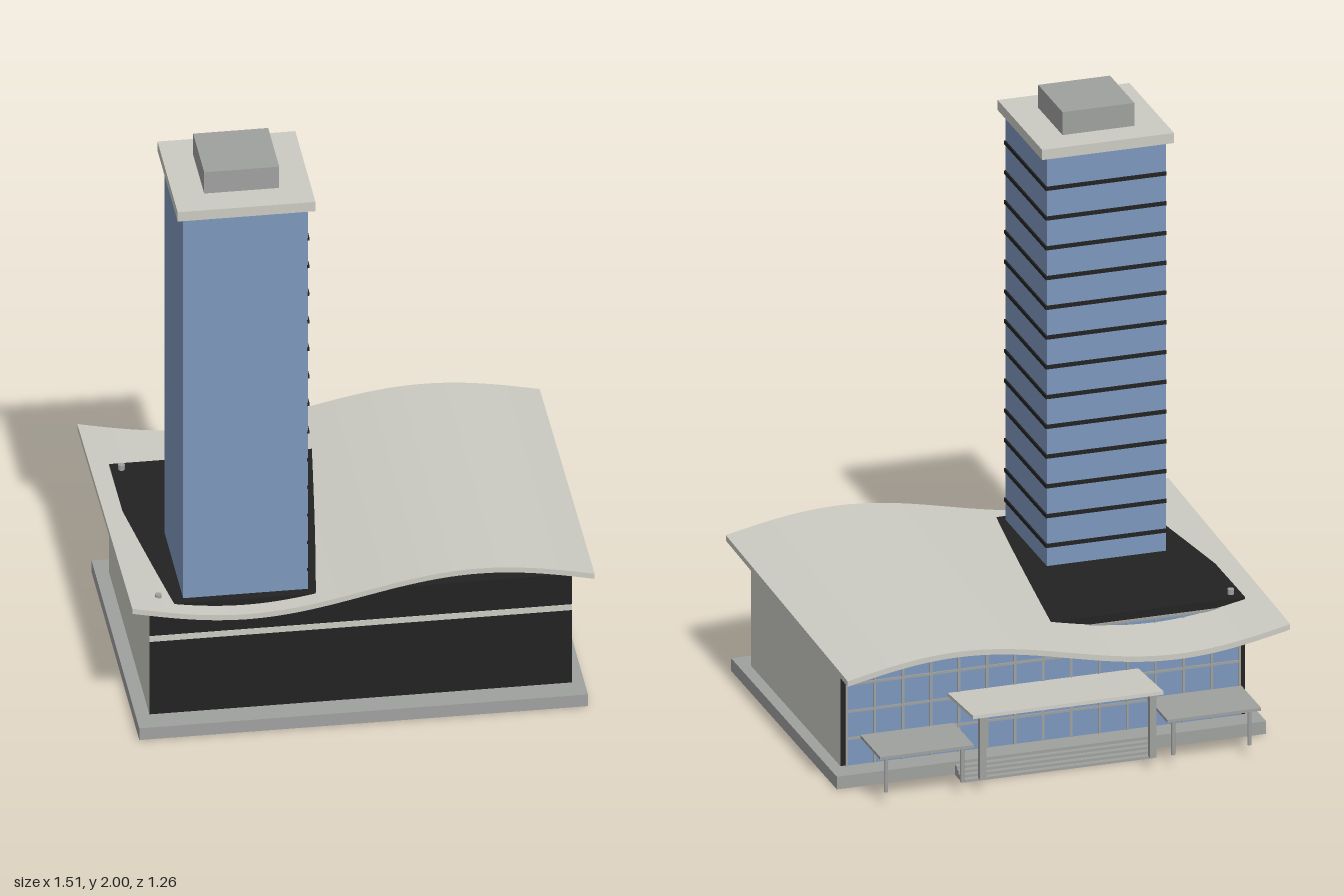
import * as THREE from 'three';

const material = (name, color) => {
  const m = new THREE.MeshStandardMaterial({ color });
  m.name = name;
  return m;
};

export function createModel() {
  const concrete = material('paleConcrete', 0xcbcbc3);
  const grey = material('grey', 0x9fa19f);
  const dark = material('dark', 0x222222);
  const glass = material('blueGlass', 0x7d97bc);
  const model = new THREE.Group();

  const add = (name, geometry, mat, parent = model) => {
    const mesh = new THREE.Mesh(geometry, mat);
    mesh.name = name;
    parent.add(mesh);
    return mesh;
  };
  const group = (name) => {
    const g = new THREE.Group();
    g.name = name;
    model.add(g);
    return g;
  };
  // Box given by its limits on each axis
  const box = (name, [x0, x1], [y0, y1], [z0, z1], mat, parent) => {
    const mesh = add(name, new THREE.BoxGeometry(x1 - x0, y1 - y0, z1 - z0), mat, parent);
    mesh.position.set((x0 + x1) / 2, (y0 + y1) / 2, (z0 + z1) / 2);
    return mesh;
  };
  const post = (name, x, z, y0, y1, r, mat, parent) => {
    const mesh = add(name, new THREE.CylinderGeometry(r, r, y1 - y0, 12), mat, parent);
    mesh.position.set(x, (y0 + y1) / 2, z);
  };

  // Plinth and rear entrance steps
  box('plinth', [-0.735, 0.73], [0.002, 0.046], [-0.43, 0.632], grey);
  const steps = group('entranceSteps');
  for (let i = 0; i < 4; i++) {
    box('step', [-0.327, 0.327], [0, 0.009 * (i + 1)], [-0.503 + i * 0.018, -0.43], grey, steps);
  }

  // Hall: dark block with pale side walls
  box('hall', [-0.69, 0.69], [0, 0.455], [-0.348, 0.55], [concrete, concrete, dark, dark, dark, dark]);
  box('frontStripe', [-0.69, 0.69], [0.32, 0.341], [0.548, 0.552], concrete);

  // Glazed rear wall with its grid of mullions
  const glazing = group('rearGlazing');
  box('rearGlass', [-0.67, 0.67], [0.046, 0.425], [-0.351, -0.347], glass, glazing);
  for (let i = 0; i <= 14; i++) {
    const x = -0.67 + i * 1.34 / 14;
    box('mullion', [x - 0.004, x + 0.004], [0.046, 0.425], [-0.355, -0.35], grey, glazing);
  }
  for (const y of [0.14, 0.235, 0.33, 0.425]) {
    box('transom', [-0.67, 0.67], [y - 0.004, y + 0.004], [-0.355, -0.35], grey, glazing);
  }

  // Wave roof: one full sine across the width, falling toward the rear
  const roof = new THREE.BoxGeometry(1.51, 0.019, 1.225, 64, 1, 1);
  const p = roof.attributes.position;
  for (let i = 0; i < p.count; i++) {
    const wave = 0.053 * Math.sin(p.getX(i) * Math.PI * 2 / 1.51);
    p.setY(i, p.getY(i) + 0.4775 + wave + 0.027 * (p.getZ(i) - 0.61));
  }
  roof.computeVertexNormals();
  add('waveRoof', roof, concrete);

  // Corner posts carrying the roof
  for (const x of [-0.655, 0.655]) {
    for (const z of [-0.31, 0.51]) post('roofPost', x, z, 0.046, 0.473, 0.011, grey);
  }

  // Tower, roof slab and plant room
  const tower = group('tower');
  box('towerShaft', [-0.575, -0.168], [0.3, 1.885], [0.104, 0.518], glass, tower);
  for (let y = 0.52; y < 1.86; y += 0.104) {
    box('sideFloorBand', [-0.17, -0.163], [y, y + 0.013], [0.1, 0.518], dark, tower);
    box('rearFloorBand', [-0.575, -0.163], [y, y + 0.013], [0.099, 0.106], dark, tower);
  }
  box('towerCap', [-0.595, -0.145], [1.885, 1.92], [0.083, 0.531], concrete, tower);
  box('plantRoom', [-0.493, -0.248], [1.92, 2], [0.182, 0.427], grey, tower);

  // Sloping entrance canopy on two piers
  const entrance = group('entranceCanopy');
  const slab = box('entranceSlab', [-0.325, 0.325], [0.252, 0.264], [-0.605, -0.348], concrete, entrance);
  slab.rotation.x = 0.075;
  for (const x of [-0.29, 0.29]) {
    box('entrancePier', [x - 0.011, x + 0.011], [0.046, 0.262], [-0.607, -0.585], grey, entrance);
  }

  // Lower flat canopies to each side
  for (const side of [-1, 1]) {
    const canopy = group(side > 0 ? 'leftCanopy' : 'rightCanopy');
    const slabX = [side * 0.49 - 0.16, side * 0.49 + 0.16];
    box('canopySlab', slabX, [0.172, 0.182], [-0.63, -0.43], grey, canopy);
    for (const dx of [-0.13, 0.13]) {
      post('canopyPost', side * 0.49 + dx, -0.6, 0.046, 0.174, 0.007, grey, canopy);
    }
  }
  return model;
}
